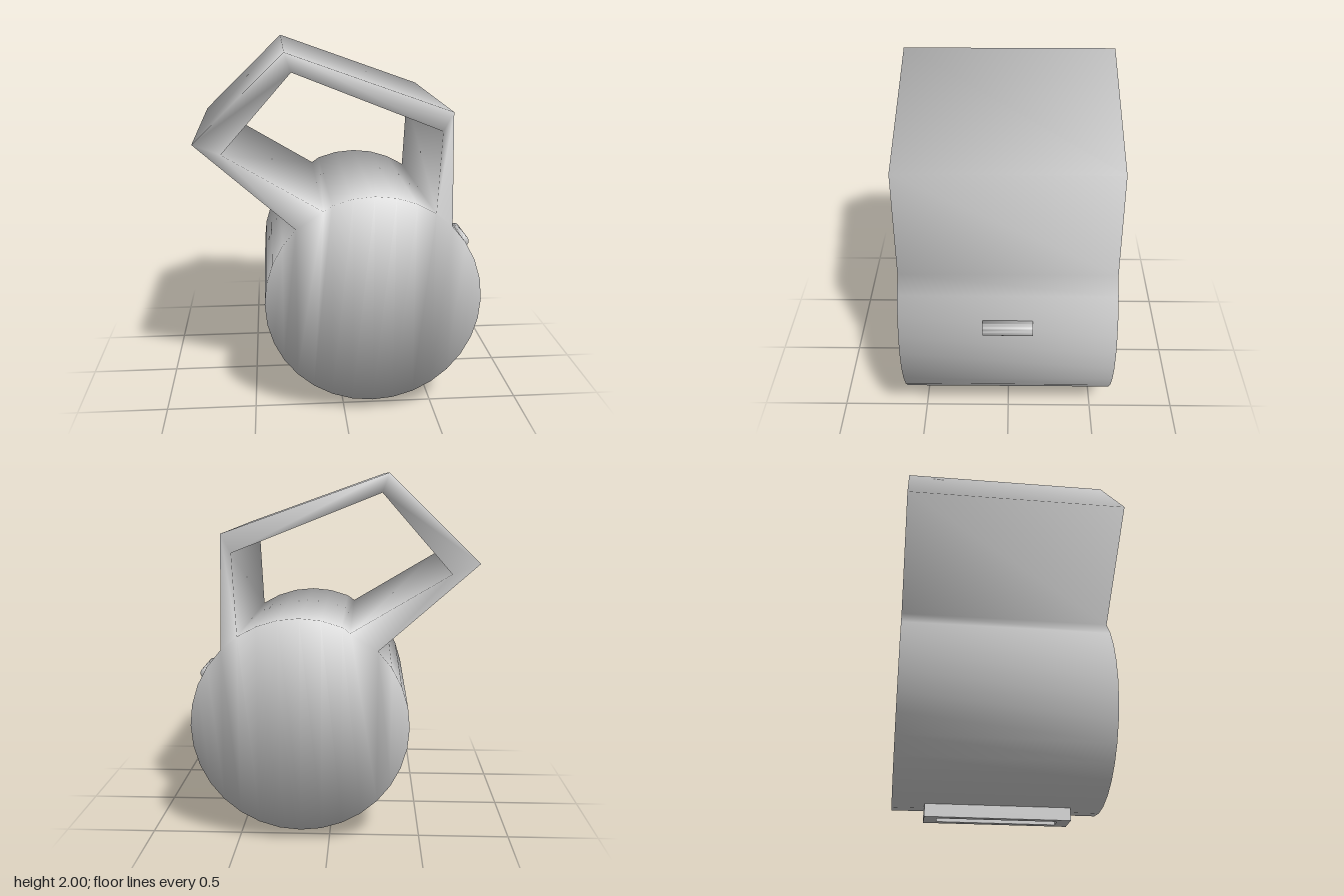
import * as THREE from 'three';
import { toCreasedNormals } from 'three/addons/utils/BufferGeometryUtils.js';

const CX = 0.157, CY = 0.657, R = 0.592, HALF = 0.595; // drum axis, radius, half length
const STEP = Math.PI / 16;                             // drum has 32 sides

// Smooth normals over all shared corners, each face weighted by its corner angle
function smoothByAngle(geometry) {
  const index = geometry.index.array;
  const position = geometry.attributes.position;
  const normals = Array.from({ length: position.count }, () => new THREE.Vector3());
  for (let t = 0; t < index.length; t += 3) {
    const ids = [index[t], index[t + 1], index[t + 2]];
    const p = ids.map((id) => new THREE.Vector3().fromBufferAttribute(position, id));
    for (let k = 0; k < 3; k++) {
      const u = p[(k + 1) % 3].clone().sub(p[k]);
      const v = p[(k + 2) % 3].clone().sub(p[k]);
      const angle = u.angleTo(v);
      normals[ids[k]].addScaledVector(u.cross(v).normalize(), angle);
    }
  }
  const flat = normals.flatMap((n) => n.normalize().toArray());
  geometry.setAttribute('normal', new THREE.Float32BufferAttribute(flat, 3));
}

// Drum and handle as one smooth skin: caps in strips, walls along both outlines
function drumAndHandle() {
  const positions = [];
  const index = [];
  // Each profile point makes a front corner (even) and a back corner (odd)
  const addPoint = (x, y) => {
    positions.push(x, y, HALF, x, y, -HALF);
    return positions.length / 3 - 2;
  };
  // Corners run anticlockwise as seen from the front
  const capTriangle = (a, b, c) => index.push(a, b, c, a + 1, c + 1, b + 1);
  const capQuad = (a, b, c, d) => {
    capTriangle(a, b, c);
    capTriangle(a, c, d);
  };
  const wallLoop = (loop) => loop.forEach((a, i) => {
    const b = loop[(i + 1) % loop.length];
    index.push(a + 1, b + 1, b, a + 1, b, a);
  });

  // Drum columns from left (-8) to right (8); the two end columns are single points
  const top = {}, bottom = {};
  for (let k = -8; k <= 8; k++) {
    const x = CX + R * Math.sin(k * STEP), h = R * Math.cos(k * STEP);
    bottom[k] = addPoint(x, CY - h);
    if (Math.abs(k) === 8) top[k] = bottom[k];
    else top[k] = k === -3 ? addPoint(-0.115, 1.172) : addPoint(x, CY + h);
  }
  capTriangle(bottom[-8], bottom[-7], top[-7]);
  for (let k = -7; k < 7; k++) capQuad(bottom[k], bottom[k + 1], top[k + 1], top[k]);
  capTriangle(bottom[7], bottom[8], top[7]);

  // Lopsided handle frame rising from the drum
  const outer = [[-0.785, 1.54], [-0.31, 2], [0.56, 1.69]].map((p) => addPoint(...p));
  const inner = [[-0.64, 1.485], [-0.275, 1.9], [0.507, 1.59]].map((p) => addPoint(...p));
  const outerPath = [top[-4], ...outer, top[4]];
  const innerPath = [top[-3], ...inner, top[3]];
  for (let i = 0; i < 4; i++) capQuad(outerPath[i], innerPath[i], innerPath[i + 1], outerPath[i + 1]);

  const range = (from, to) => Array.from({ length: Math.abs(to - from) + 1 },
    (_, i) => from + i * Math.sign(to - from));
  wallLoop([
    ...range(-8, 8).map((k) => bottom[k]), ...range(7, 4).map((k) => top[k]),
    ...outer.reverse(), ...range(-4, -7).map((k) => top[k]),
  ]);
  wallLoop([...range(3, -3).map((k) => top[k]), ...inner]);

  const geometry = new THREE.BufferGeometry();
  geometry.setAttribute('position', new THREE.Float32BufferAttribute(positions, 3));
  geometry.setIndex(index);
  smoothByAngle(geometry);
  return geometry;
}

// Rounded latch on the side of the drum
function latchGeometry() {
  const points = [new THREE.Vector2(0.69, 0.865), new THREE.Vector2(0.69, 0.808)];
  for (let i = 0; i <= 12; i++) {
    const a = -2.2 + (i / 12) * 4.2;
    points.push(new THREE.Vector2(0.749 + 0.033 * Math.cos(a), 0.838 + 0.033 * Math.sin(a)));
  }
  const geometry = new THREE.ExtrudeGeometry(new THREE.Shape(points), { depth: 0.27, bevelEnabled: false });
  geometry.translate(0, 0, -0.135);
  return toCreasedNormals(geometry, 2);
}

// Rectangular foot with a slot through it
function footGeometry() {
  const rectangle = (Type, w, h) => new Type([
    new THREE.Vector2(-w, -h), new THREE.Vector2(w, -h),
    new THREE.Vector2(w, h), new THREE.Vector2(-w, h),
  ]);
  const shape = rectangle(THREE.Shape, 0.077, 0.413);
  shape.holes.push(rectangle(THREE.Path, 0.038, 0.34));
  const geometry = new THREE.ExtrudeGeometry(shape, { depth: 0.08, bevelEnabled: false });
  geometry.rotateX(-Math.PI / 2);
  geometry.translate(CX, 0, 0);
  return geometry;
}

export function createModel() {
  const group = new THREE.Group();
  const grey = new THREE.MeshStandardMaterial({ color: 0xcccccc });
  const black = new THREE.MeshStandardMaterial({ color: 0x000000 });
  const add = (name, geometry, material) => {
    const mesh = new THREE.Mesh(geometry, material);
    mesh.name = name;
    group.add(mesh);
  };

  add('drumAndHandle', drumAndHandle(), grey);
  add('latch', latchGeometry(), grey);
  add('foot', footGeometry(), grey);

  // Dark opening at the top of the slot
  const opening = new THREE.PlaneGeometry(0.076, 0.68);
  opening.rotateX(Math.PI / 2);
  opening.translate(CX, 0.058, 0);
  add('slotOpening', opening, black);

  return group;
}
